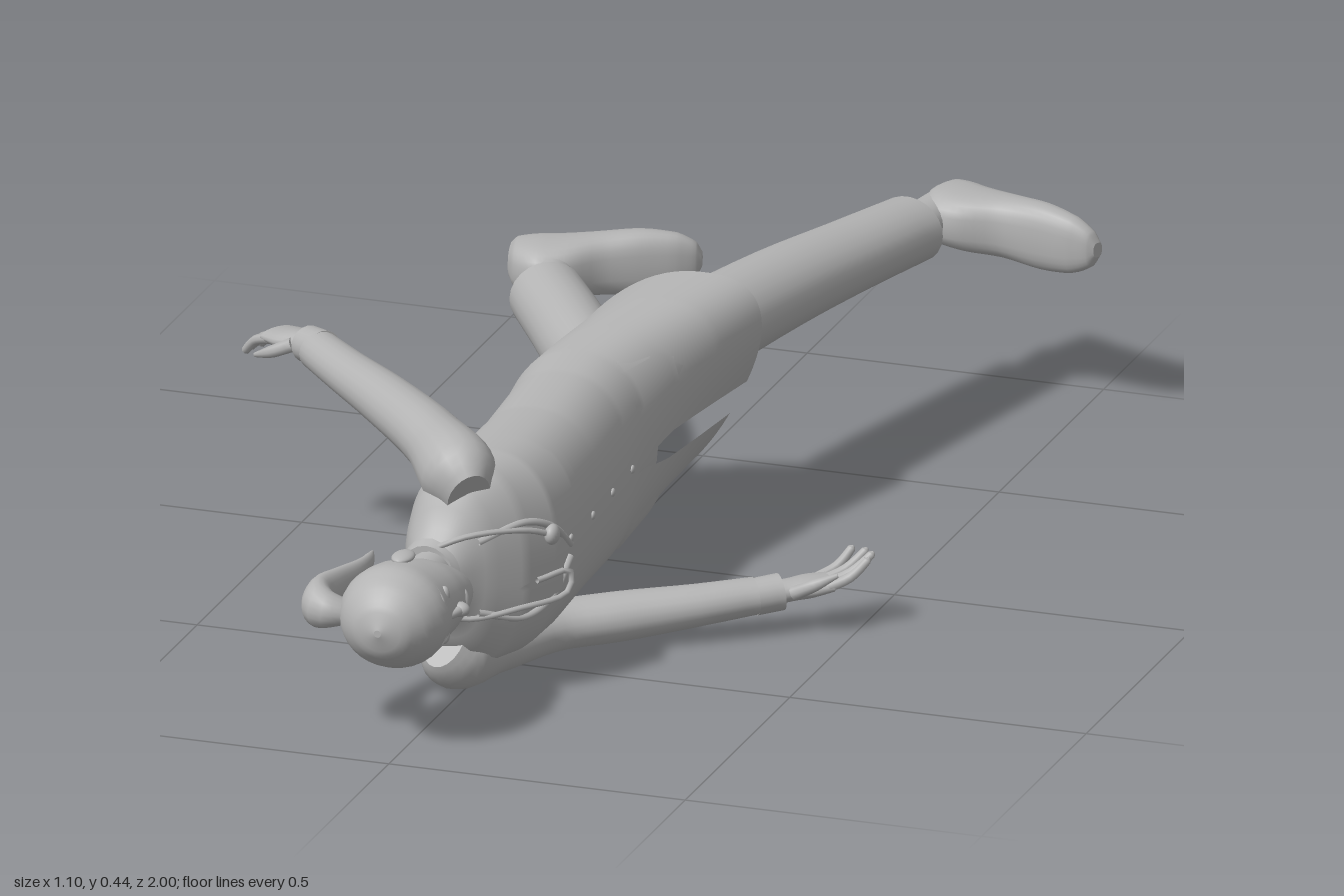
import * as THREE from 'three';
import { ParametricGeometry } from 'three/addons/geometries/ParametricGeometry.js';

const grey = new THREE.MeshStandardMaterial({ color: 0xb4b4b4, side: THREE.DoubleSide });
grey.name = 'plain grey';
const V = (x, y, z) => new THREE.Vector3(x, y, z);
const MID = 0.22; // height of the body's centre line
const pw = (a, p) => Math.sign(a) * Math.abs(a) ** p;

// Smooth skin over sections [x, y, z, radius along y, radius across]
function loft(secs, { axis = null, p = 1, sides = 20, steps = 4 } = {}) {
  const path = new THREE.CatmullRomCurve3(secs.map(s => V(s[0], s[1], s[2])));
  const size = new THREE.CatmullRomCurve3(secs.map(s => V(s[3], s[4], 0)));
  const n = (secs.length - 1) * steps, pos = [], idx = [];
  for (let i = 0; i <= n; i++) {
    const c = path.getPoint(i / n), r = size.getPoint(i / n);
    const t = axis ? axis.clone().normalize() : path.getTangent(i / n);
    const u = V(0, 1, 0).addScaledVector(t, -t.y).normalize();
    const v = t.clone().cross(u);
    for (let j = 0; j < sides; j++) {
      const a = j / sides * Math.PI * 2;
      const q = c.clone().addScaledVector(u, pw(Math.cos(a), p) * r.x).addScaledVector(v, pw(Math.sin(a), p) * r.y);
      pos.push(q.x, q.y, q.z);
      if (i < n) {
        const k = i * sides + j, m = i * sides + (j + 1) % sides;
        idx.push(k, m, m + sides, k, m + sides, k + sides);
      }
    }
  }
  // separate vertices keep the end caps crisp
  for (const end of [0, n]) {
    const start = pos.length / 3, from = end * sides * 3;
    pos.push(...pos.slice(from, from + sides * 3));
    const c = path.getPoint(end / n);
    pos.push(c.x, c.y, c.z);
    for (let j = 0; j < sides; j++) {
      const a = start + j, b = start + (j + 1) % sides;
      idx.push(start + sides, end ? a : b, end ? b : a);
    }
  }
  const g = new THREE.BufferGeometry();
  g.setAttribute('position', new THREE.Float32BufferAttribute(pos, 3));
  g.setIndex(idx);
  g.computeVertexNormals();
  return g;
}

// Coat sections: z, centre x, depth, half width, shear, front gap
const COAT = [
  [-0.22, 0.0, 0.16, 0.205, 0.5, 0.1],
  [-0.1, 0.0, 0.145, 0.198, 0.36, 0.1],
  [0.02, 0.0, 0.13, 0.188, 0.18, 0.09],
  [0.12, 0.0, 0.122, 0.178, 0.06, 0.02],
  [0.2, 0.01, 0.115, 0.17, 0, 0],
  [0.35, 0.018, 0.115, 0.165, 0, 0],
  [0.5, 0.022, 0.118, 0.17, 0, 0],
  [0.58, 0.02, 0.115, 0.172, 0, 0],
  [0.64, 0.005, 0.1, 0.17, 0, 0],
  [0.68, -0.008, 0.078, 0.14, 0, 0],
  [0.705, -0.015, 0.058, 0.085, 0, 0],
  [0.725, -0.02, 0.045, 0.055, 0, 0],
];
const POWER = 0.85;
function coatAt(z) {
  let i = 0;
  while (i < COAT.length - 2 && COAT[i + 1][0] < z) i++;
  const f = (z - COAT[i][0]) / (COAT[i + 1][0] - COAT[i][0]);
  return COAT[i].map((a, k) => a + (COAT[i + 1][k] - a) * f);
}
function coatPoint(z, angle, lift, out) {
  const [, cx, rx, ry, shear] = coatAt(z);
  const dy = (ry + lift) * pw(Math.sin(angle), POWER);
  return out.set(cx + (rx + lift) * pw(Math.cos(angle), POWER) + shear * dy, MID + dy, z);
}
// Point on the coat front at a given y
function frontPoint(y, z, lift, out = V(0, 0, 0)) {
  const s = (y - MID) / (coatAt(z)[3] + lift);
  return coatPoint(z, Math.asin(Math.max(-1, Math.min(1, pw(s, 1 / POWER)))), lift, out);
}

export function createModel() {
  const model = new THREE.Group();
  const add = (name, geo, parent = model) => {
    const m = new THREE.Mesh(geo, grey);
    m.name = name;
    parent.add(m);
    return m;
  };
  const ball = (name, x, y, z, a, b, c) => {
    const m = add(name, new THREE.SphereGeometry(1, 20, 14));
    m.position.set(x, y, z);
    m.scale.set(a, b, c);
  };
  const cord = (name, pts, r) =>
    add(name, new THREE.TubeGeometry(new THREE.CatmullRomCurve3(pts), 40, r, 6));
  const Z = V(0, 0, 1);

  // Coat, open at the lower front
  add('coat', new ParametricGeometry((u, v, out) => {
    const z = -0.22 + v * 0.945, gap = coatAt(z)[5];
    coatPoint(z, gap + u * (Math.PI * 2 - 2 * gap), 0, out);
  }, 64, 60));
  add('hips', loft([[0, MID, -0.1, 0.12, 0.06], [0, MID, 0, 0.165, 0.1], [0, MID, 0.15, 0.16, 0.1], [0, MID, 0.25, 0.15, 0.09]], { axis: Z }));

  // Pockets and placket follow the coat surface
  const patch = (name, y0, y1, z0, z1, lift = 0.005, slant = 0) =>
    add(name, new ParametricGeometry((u, v, out) => {
      const edge = Math.min(u, 1 - u, v, 1 - v) < 0.01 ? -0.002 : lift;
      frontPoint(y0 + (y1 - y0) * u + slant * (v - 0.5), z0 + (z1 - z0) * v, edge, out);
    }, 12, 12));
  patch('chestPocket', 0.31, 0.375, 0.46, 0.56);
  patch('badge', 0.15, 0.2, 0.56, 0.68, 0.008, -0.04);
  patch('sidePocketUpper', 0.31, 0.375, 0.0, 0.14);
  patch('sidePocketLower', 0.07, 0.13, 0.0, 0.14);
  patch('placket', 0.215, 0.255, 0.14, 0.6, 0.003);
  for (let i = 0; i < 4; i++) {
    const q = frontPoint(0.24, 0.2 + i * 0.11, 0.004);
    ball('button', q.x, q.y, q.z, 0.004, 0.007, 0.007);
  }
  for (const s of [-1, 1]) {
    const on = (dy, z, l) => frontPoint(MID + s * dy, z, l);
    cord('lapelEdge', [on(0.06, 0.7, 0.006), on(0.08, 0.64, 0.004), on(0.06, 0.59, 0.004), on(0.01, 0.53, 0.003)], 0.006);
  }
  add('collar', loft([[-0.02, MID, 0.69, 0.075, 0.062], [-0.025, MID, 0.715, 0.066, 0.056], [-0.03, MID, 0.735, 0.057, 0.048]], { axis: Z }));

  // Listening tube around the neck
  const tubePts = [frontPoint(0.27, 0.6, 0.012), frontPoint(0.29, 0.65, 0.01), V(0.01, 0.285, 0.72), V(-0.075, MID, 0.725),
    V(0.01, 0.155, 0.72), frontPoint(0.16, 0.65, 0.012), frontPoint(0.17, 0.58, 0.022), V(0.155, 0.2, 0.57), frontPoint(0.2, 0.63, 0.01)];
  cord('neckTube', tubePts, 0.005);
  ball('chestPiece', tubePts[0].x, tubePts[0].y, tubePts[0].z, 0.012, 0.017, 0.017);

  // Neck and head
  add('neck', loft([[-0.025, MID, 0.68, 0.06, 0.05], [-0.025, MID, 0.73, 0.048, 0.041], [-0.02, MID, 0.83, 0.047, 0.045]]));
  add('head', loft([[0.035, MID, 0.757, 0.015, 0.014], [0.026, MID, 0.766, 0.034, 0.034], [0.01, MID, 0.79, 0.053, 0.054],
    [-0.005, MID, 0.825, 0.07, 0.07], [-0.02, MID, 0.865, 0.08, 0.085], [-0.022, MID, 0.91, 0.085, 0.09],
    [-0.022, MID, 0.955, 0.07, 0.075], [-0.02, MID, 0.985, 0.042, 0.045], [-0.02, MID, 0.998, 0.006, 0.006]], { axis: Z, sides: 32 }));
  ball('nose', 0.066, MID, 0.846, 0.016, 0.012, 0.014);
  add('noseBridge', loft([[0.068, MID, 0.84, 0.011, 0.011], [0.064, MID, 0.86, 0.008, 0.009], [0.06, MID, 0.885, 0.006, 0.006]]));
  ball('lips', 0.058, MID, 0.808, 0.01, 0.021, 0.008);
  for (const s of [-1, 1]) {
    ball('eye', 0.051, MID + s * 0.034, 0.879, 0.009, 0.015, 0.008);
    cord('eyebrow', [V(0.062, MID + s * 0.015, 0.9), V(0.058, MID + s * 0.035, 0.906), V(0.043, MID + s * 0.054, 0.9)], 0.003);
    ball('ear', -0.025, MID + s * 0.083, 0.86, 0.018, 0.008, 0.028);
  }
  add('ponytail', loft([[-0.1, MID, 0.92, 0.02, 0.025], [-0.14, 0.225, 0.925, 0.034, 0.03], [-0.158, 0.225, 0.885, 0.037, 0.022],
    [-0.15, 0.225, 0.82, 0.03, 0.016], [-0.137, 0.225, 0.75, 0.022, 0.012], [-0.14, 0.225, 0.7, 0.014, 0.009], [-0.148, 0.225, 0.66, 0.004, 0.003]]));

  // Arms, each with a cuff and a hand of five fingers
  function arm(side, sleeve, wrist, knuckle, curl) {
    const g = new THREE.Group();
    g.name = side + 'Arm';
    model.add(g);
    add('sleeve', loft(sleeve), g);
    const dir = knuckle.clone().sub(wrist).normalize();
    const across = V(dir.z, 0, -dir.x).normalize();
    const at = (base, along, sideways, lift, ry, rv) => {
      const q = base.clone().addScaledVector(dir, along).addScaledVector(across, sideways);
      return [q.x, q.y + lift, q.z, ry, rv];
    };
    add('cuff', loft([at(wrist, -0.04, 0, 0, 0.03, 0.032), at(wrist, 0.005, 0, 0, 0.03, 0.032)]), g);
    add('palm', loft([at(wrist, -0.02, 0, 0, 0.02, 0.022), at(wrist, 0.02, 0, 0, 0.018, 0.025),
      at(wrist, 0.055, 0, 0, 0.016, 0.036), at(knuckle, 0.005, 0, 0, 0.012, 0.035)]), g);
    for (let i = 0; i < 4; i++) {
      const o = (i - 1.5) * 0.017, len = [0.062, 0.076, 0.072, 0.055][i];
      add('finger', loft([at(knuckle, -0.01, o, 0, 0.009, 0.009), at(knuckle, len * 0.5, o * 1.15, curl * 0.3, 0.0085, 0.0085),
        at(knuckle, len * 0.95, o * 1.25, curl * 0.9, 0.007, 0.007), at(knuckle, len, o * 1.25, curl, 0.002, 0.002)], { sides: 8 }), g);
    }
    const th = side === 'upper' ? 1 : -1;
    add('thumb', loft([at(wrist, 0.02, th * 0.02, 0, 0.012, 0.012), at(wrist, 0.05, th * 0.042, curl * 0.4, 0.01, 0.01),
      at(wrist, 0.085, th * 0.05, curl * 0.7, 0.004, 0.004)], { sides: 8 }), g);
  }
  arm('upper', [[0.02, 0.345, 0.675, 0.05, 0.035], [-0.01, 0.37, 0.64, 0.066, 0.062], [-0.07, 0.388, 0.57, 0.05, 0.053],
    [-0.21, 0.39, 0.415, 0.042, 0.046], [-0.31, 0.387, 0.31, 0.036, 0.04], [-0.39, 0.386, 0.225, 0.032, 0.036]],
  V(-0.415, 0.385, 0.2), V(-0.485, 0.375, 0.145), -0.035);
  arm('lower', [[-0.02, 0.1, 0.675, 0.05, 0.035], [-0.012, 0.07, 0.64, 0.064, 0.06], [0.01, 0.05, 0.56, 0.045, 0.053],
    [0.07, 0.045, 0.425, 0.04, 0.05], [0.16, 0.05, 0.36, 0.04, 0.045], [0.27, 0.06, 0.295, 0.034, 0.038], [0.35, 0.067, 0.24, 0.03, 0.034]],
  V(0.38, 0.069, 0.218), V(0.445, 0.077, 0.17), 0.04);

  // Legs: trouser, ankle, and a shoe built along its sole
  function leg(side, trouser, ankle, heel, dir, drift) {
    const g = new THREE.Group();
    g.name = side + 'Leg';
    model.add(g);
    add('trouser', loft(trouser, { sides: 24 }), g);
    add('ankle', loft(ankle), g);
    const d = dir.normalize(), up = V(-d.z, 0, d.x);
    const shape = [[0, 0.075, 0.022], [0.012, 0.105, 0.036], [0.05, 0.135, 0.045], [0.095, 0.125, 0.047], [0.15, 0.085, 0.05],
      [0.21, 0.064, 0.054], [0.265, 0.046, 0.047], [0.295, 0.03, 0.03], [0.304, 0.02, 0.012]];
    add('shoe', loft(shape.map(([s, h, w]) => {
      const q = heel.clone().addScaledVector(d, s).addScaledVector(up, h / 2);
      return [q.x, q.y + drift * s, q.z, w, h / 2];
    }), { axis: d, p: 0.75, sides: 24 }), g);
  }
  leg('upper', [[0.03, 0.315, 0.1, 0.08, 0.085], [0.09, 0.33, -0.15, 0.076, 0.08], [0.15, 0.33, -0.42, 0.066, 0.075],
    [0.2, 0.323, -0.62, 0.058, 0.069], [0.245, 0.315, -0.795, 0.054, 0.064]],
  [[0.235, 0.315, -0.74, 0.036, 0.04], [0.25, 0.313, -0.83, 0.034, 0.038], [0.265, 0.312, -0.9, 0.036, 0.04]],
  V(0.268, 0.315, -0.982), V(0.28, 0, 0.122), -0.06);
  leg('lower', [[-0.03, 0.13, 0.1, 0.082, 0.085], [-0.09, 0.122, -0.2, 0.08, 0.08], [-0.155, 0.128, -0.44, 0.068, 0.064],
    [-0.25, 0.137, -0.6, 0.062, 0.064], [-0.353, 0.142, -0.757, 0.058, 0.062]],
  [[-0.335, 0.142, -0.72, 0.036, 0.038], [-0.367, 0.143, -0.82, 0.034, 0.035], [-0.385, 0.144, -0.88, 0.036, 0.04]],
  V(-0.472, 0.145, -0.93), V(0.29, 0, -0.068), 0);

  return model;
}
